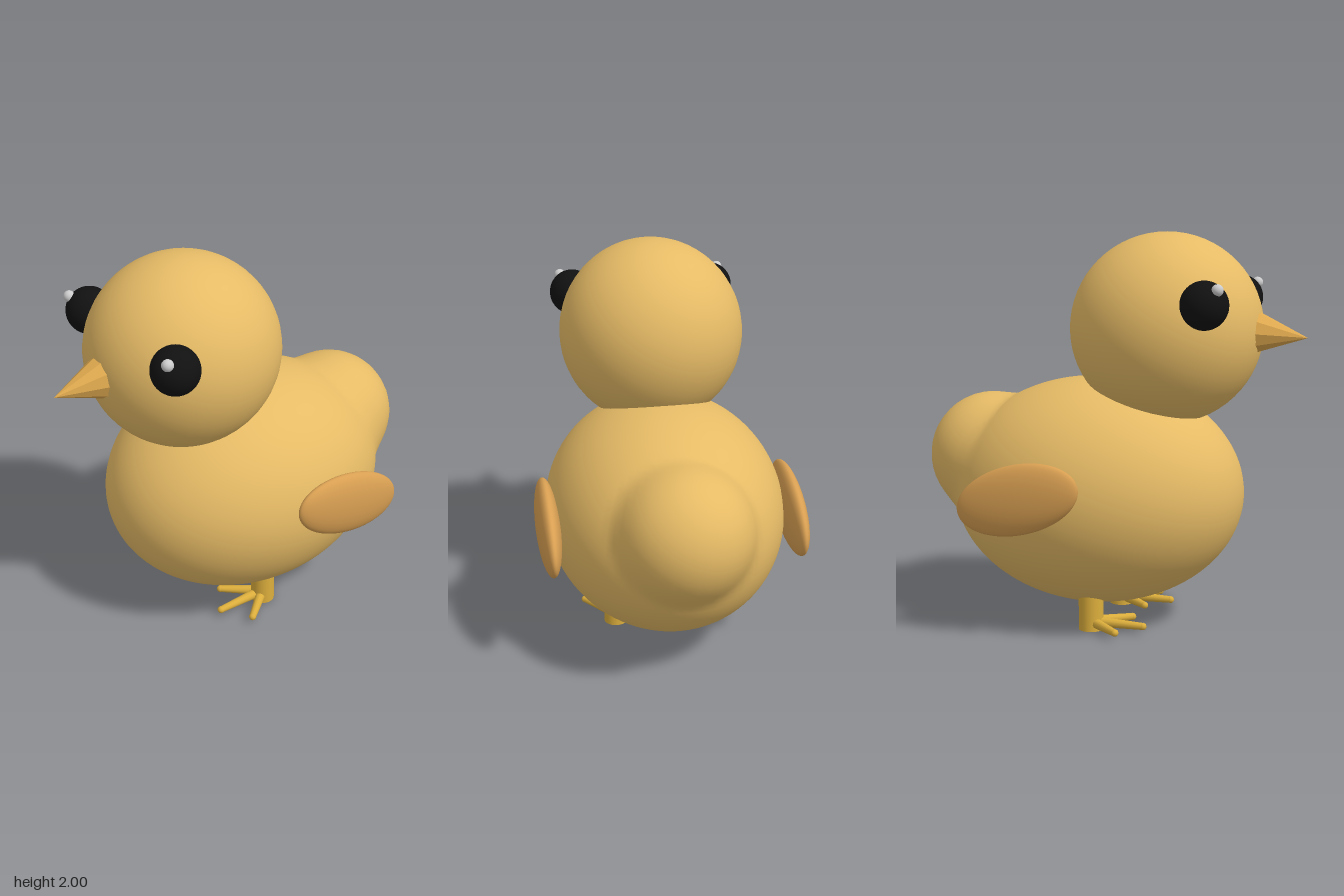
import * as THREE from 'three';
import { mergeVertices } from 'three/addons/utils/BufferGeometryUtils.js';

const material = (color, extra = {}) => new THREE.MeshStandardMaterial({ color, ...extra });
const down = material(0xe6bb66);
const wingMat = material(0xd89f52);
const beakMat = material(0xdfa94f, { flatShading: true });
const legMat = material(0xdcae3c);
const eyeMat = material(0x111111);
const glintMat = material(0xcccccc);

function add(parent, name, geometry, mat, x, y, z) {
  const mesh = new THREE.Mesh(geometry, mat);
  mesh.name = name;
  mesh.position.set(x, y, z);
  parent.add(mesh);
  return mesh;
}

function ellipsoid(rx, ry, rz) {
  return new THREE.SphereGeometry(1, 48, 32).scale(rx, ry, rz);
}

// Egg-shaped body with a round tail blended in: each vertex of a sphere is
// pushed out to the smooth maximum of an ellipsoid and the tail ball.
function bodyGeometry() {
  const radii = new THREE.Vector3(0.61, 0.585, 0.765);
  const tail = new THREE.Vector3(0, 0.15, -0.585);
  const tailRadius = 0.33, blend = 0.08;
  const sphere = new THREE.SphereGeometry(1, 96, 64);
  sphere.deleteAttribute('uv');
  sphere.deleteAttribute('normal');
  const geometry = mergeVertices(sphere);
  const p = geometry.attributes.position;
  const d = new THREE.Vector3();
  for (let i = 0; i < p.count; i++) {
    d.fromBufferAttribute(p, i).normalize();
    const egg = 1 / d.clone().divide(radii).length();
    const along = d.dot(tail);
    const reach = tailRadius ** 2 - tail.lengthSq() + along ** 2;
    const ball = along + Math.sqrt(Math.max(reach, 0));
    const h = Math.max(blend - Math.abs(egg - ball), 0) / blend;
    d.multiplyScalar(Math.max(egg, ball) + h * h * blend / 4);
    p.setXYZ(i, d.x, d.y, d.z);
  }
  geometry.computeVertexNormals();
  return geometry;
}

// Tapered toe with a rounded tip, running from the leg to a given point
function addToe(foot, from, to) {
  const toe = new THREE.Group();
  toe.name = 'toe';
  const length = from.distanceTo(to);
  const shaft = new THREE.CylinderGeometry(0.018, 0.028, length, 12);
  add(toe, 'toeShaft', shaft, legMat, 0, length / 2, 0);
  add(toe, 'toeTip', new THREE.SphereGeometry(0.019, 12, 8), legMat, 0, length, 0);
  toe.position.copy(from);
  toe.quaternion.setFromUnitVectors(
    new THREE.Vector3(0, 1, 0), to.clone().sub(from).normalize());
  foot.add(toe);
}

export function createModel() {
  const chick = new THREE.Group();
  chick.name = 'chick';

  add(chick, 'body', bodyGeometry(), down, 0, 0.68, -0.083);
  add(chick, 'head', ellipsoid(0.472, 0.48, 0.487), down, 0, 1.52, 0.285);

  // Ten-sided beak, tip drooping slightly
  const beakGeometry = new THREE.ConeGeometry(0.107, 0.26, 10)
    .rotateY(Math.PI / 2).rotateX(Math.PI / 2);
  const beak = add(chick, 'beak', beakGeometry, beakMat, 0, 1.5, 0.87);
  beak.rotation.x = 0.08;

  for (const side of [1, -1]) {
    const label = side > 0 ? 'left' : 'right';

    // Bulging eye with a small highlight
    add(chick, label + 'Eye', ellipsoid(0.117, 0.117, 0.117), eyeMat, side * 0.37, 1.66, 0.575);
    add(chick, label + 'EyeHighlight', new THREE.SphereGeometry(0.029, 16, 12), glintMat,
      side * 0.425, 1.735, 0.652);

    // Flat oval wing, lower at the back
    const wing = add(chick, label + 'Wing', ellipsoid(0.06, 0.171, 0.323), wingMat,
      side * 0.62, 0.725, -0.28);
    wing.rotation.x = -0.26;

    // Leg and three spread toes
    const foot = new THREE.Group();
    foot.name = label + 'Leg';
    foot.position.set(side * 0.25, 0, -0.032);
    add(foot, 'shank', new THREE.CylinderGeometry(0.063, 0.063, 0.2, 24), legMat, 0, 0.1, 0);
    for (const spread of [-1, 0, 1]) {
      const tip = new THREE.Vector3(spread * 0.145, 0.038, spread ? 0.175 : 0.275);
      addToe(foot, new THREE.Vector3(0, 0.04, 0), tip);
    }
    chick.add(foot);
  }
  return chick;
}
